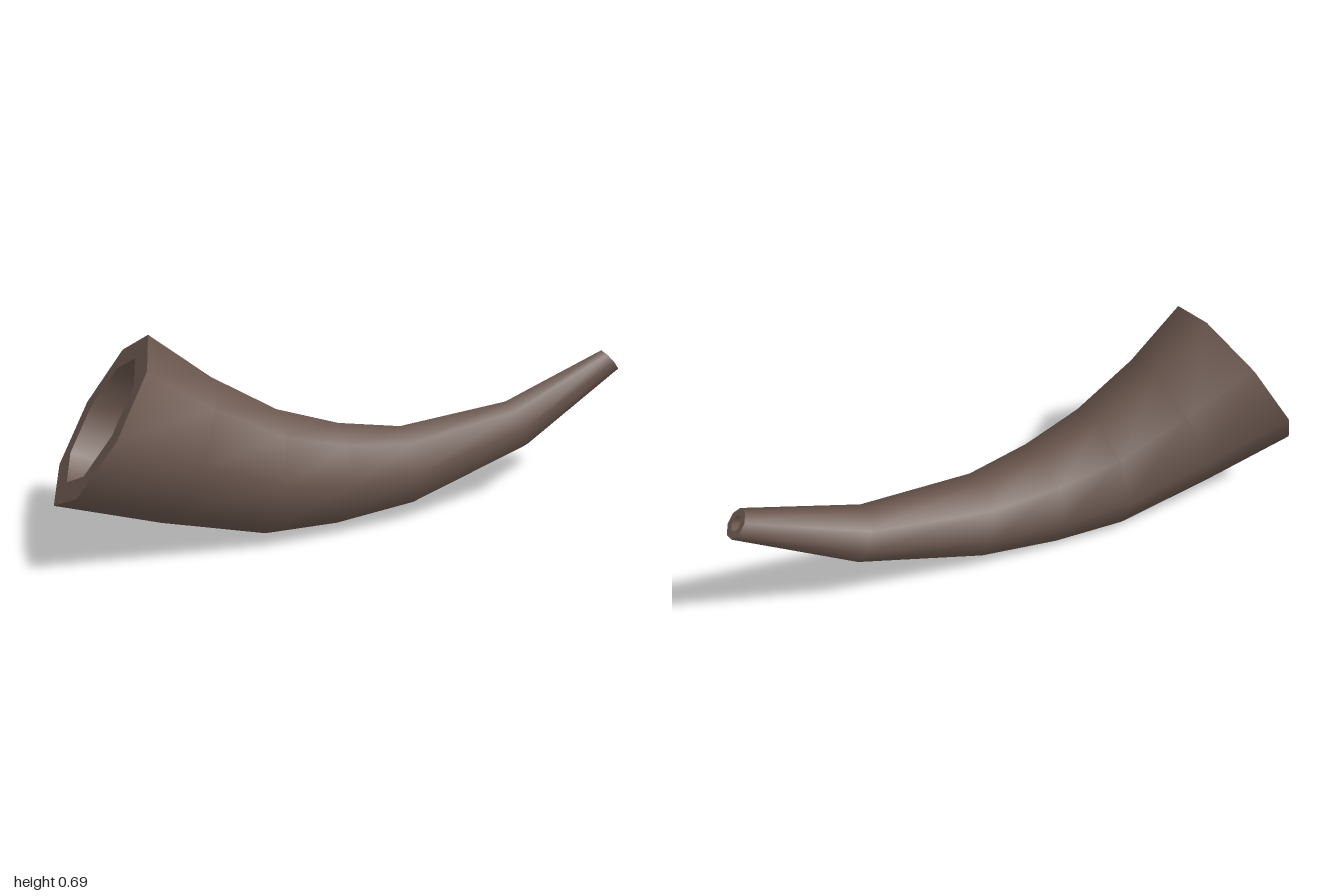
import * as THREE from 'three';

const SIDES = 8;
const TWIST = THREE.MathUtils.degToRad(-7.5);

// Cross-sections from bell to tip: top x, top y, bottom x, bottom y, centre z, bore ratio
const SECTIONS = [
  [-0.67, 0.693, -1.0, 0.19, 0.0, 0.725],
  [-0.48, 0.54, -0.67, 0.085, -0.005, 0.72],
  [-0.27, 0.412, -0.33, 0.0, -0.01, 0.7],
  [-0.06, 0.342, -0.08, 0.0, -0.02, 0.68],
  [0.16, 0.305, 0.2, 0.035, -0.035, 0.65],
  [0.56, 0.345, 0.63, 0.18, -0.075, 0.58],
  [0.94, 0.492, 1.0, 0.418, -0.115, 0.5],
];

// Eight points around one cross-section, tilted along its top-bottom line
function ring([tx, ty, bx, by, z], scale) {
  const up = new THREE.Vector3(tx - bx, ty - by, 0);
  const r = (up.length() / 2 / Math.cos(TWIST)) * scale;
  up.normalize();
  const centre = new THREE.Vector3((tx + bx) / 2, (ty + by) / 2, z);
  return Array.from({ length: SIDES }, (_, j) => {
    const a = TWIST + (j / SIDES) * Math.PI * 2;
    const p = centre.clone().addScaledVector(up, Math.cos(a) * r);
    p.z += Math.sin(a) * r;
    return p;
  });
}

// Smooth closed skin through a list of rings
function skin(rings) {
  const index = [];
  for (let i = 0; i < rings.length - 1; i++) {
    for (let j = 0; j < SIDES; j++) {
      const k = (j + 1) % SIDES;
      const a = i * SIDES + j, b = i * SIDES + k;
      index.push(a, b, a + SIDES, b, b + SIDES, a + SIDES);
    }
  }
  const geometry = new THREE.BufferGeometry().setFromPoints(rings.flat());
  geometry.setIndex(index);
  geometry.computeVertexNormals();
  return geometry;
}

export function createModel() {
  const group = new THREE.Group();
  group.name = 'horn';
  const hornBrown = new THREE.MeshStandardMaterial({ color: 0x6b574e });
  hornBrown.name = 'hornBrown';

  const outer = SECTIONS.map((s) => ring(s, 1));
  const inner = SECTIONS.map((s) => ring(s, s[5]));
  const last = SECTIONS.length - 1;

  // Separate skins keep the rim edges sharp
  const parts = {
    outerWall: outer,
    bore: [...inner].reverse(),
    bellRim: [inner[0], outer[0]],
    mouthpieceRim: [outer[last], inner[last]],
  };
  for (const [name, rings] of Object.entries(parts)) {
    const mesh = new THREE.Mesh(skin(rings), hornBrown);
    mesh.name = name;
    group.add(mesh);
  }
  return group;
}
